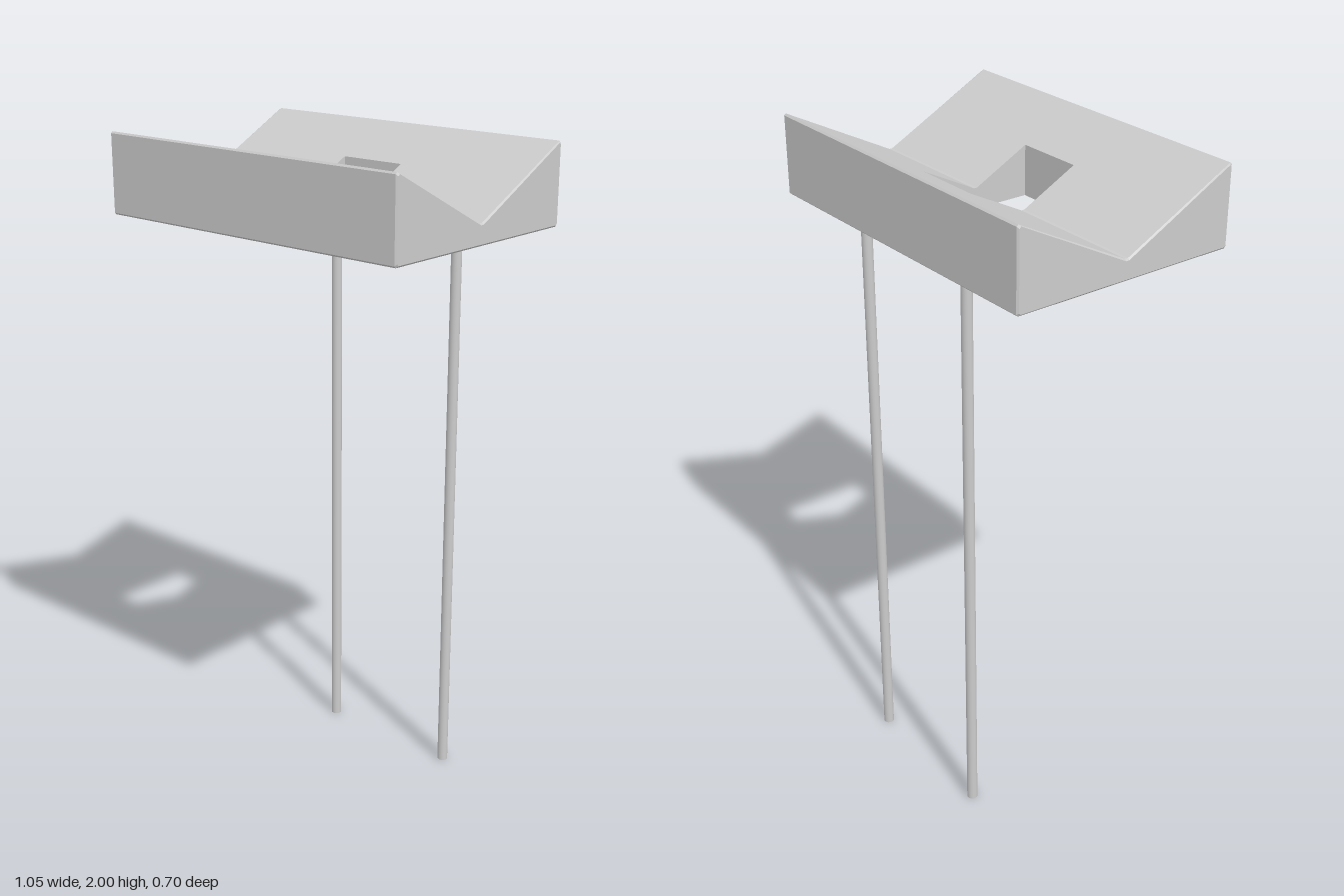
import * as THREE from 'three';

const CHAMFER = 0.005;
const HOLE_X = 0.105, HOLE_Z = 0.175;
const BASE_Y = 1.765, HALF_X = 0.525, HALF_Z = 0.35;

// V-topped profile as [z, y], counter-clockwise seen from +x, shrunk by d
function profile(d) {
  const w = HALF_Z - d, b = BASE_Y + d, t = 2 - d, v = 1.826 - d;
  const c = CHAMFER, h = HOLE_Z, n = 0.005;
  const slopeY = v + (t - v) * (h - n) / (w - c - n);
  return [
    [w - c, b], [h, b], [-h, b], [c - w, b],
    [-w, b + c], [-w, t - c], [c - w, t],
    [-h, slopeY], [-n, v], [n, v], [h, slopeY],
    [w - c, t], [w, t - c], [w, b + c],
  ];
}

function blockGeometry() {
  const pos = [];
  const tri = (...pts) => pts.forEach((p) => pos.push(...p));
  const section = (x, d) => profile(d).map(([z, y]) => [x, y, z]);

  // Skin between two sections along a closed loop of profile indices
  const skin = (a, b, loop) => loop.forEach((i, k) => {
    const j = loop[(k + 1) % loop.length];
    tri(a[i], a[j], b[j]);
    tri(a[i], b[j], b[i]);
  });
  // Flat wall fanned from the middle of the bottom edge
  const wall = (s, loop, facesLeft) => loop.forEach((i, k) => {
    const j = loop[(k + 1) % loop.length];
    if (i === 1 && j === 2) return;
    const centre = [s[0][0], s[0][1], 0];
    if (facesLeft) tri(centre, s[i], s[j]);
    else tri(centre, s[j], s[i]);
  });

  const all = profile(0).map((_, i) => i);
  const hole = [1, 2, 7, 8, 9, 10];
  const s = [
    section(-HALF_X, CHAMFER), section(CHAMFER - HALF_X, 0), section(-HOLE_X, 0),
    section(HOLE_X, 0), section(HALF_X - CHAMFER, 0), section(HALF_X, CHAMFER),
  ];
  for (const i of [0, 1, 3, 4]) skin(s[i], s[i + 1], all);

  // Front and back bars beside the hole, then the hole's end walls
  skin(s[2], s[3], [0, 1, 10, 11, 12, 13]);
  skin(s[2], s[3], [2, 3, 4, 5, 6, 7]);
  wall(s[2], hole, true);
  wall(s[3], hole, false);

  // Outer ends
  wall(s[0], all, false);
  wall(s[5], all, true);

  const geo = new THREE.BufferGeometry();
  geo.setAttribute('position', new THREE.Float32BufferAttribute(pos, 3));
  geo.computeVertexNormals();
  return geo;
}

export function createModel() {
  const model = new THREE.Group();
  const grey = new THREE.MeshStandardMaterial({ color: 0xcccccc });

  const block = new THREE.Mesh(blockGeometry(), grey);
  block.name = 'notchedBlock';
  model.add(block);

  // Two slender posts under the back edge
  const postGeometry = new THREE.CylinderGeometry(0.016, 0.016, BASE_Y, 16);
  for (const side of [1, -1]) {
    const post = new THREE.Mesh(postGeometry, grey);
    post.name = side > 0 ? 'leftPost' : 'rightPost';
    post.position.set(side * 0.23, BASE_Y / 2, -0.282);
    model.add(post);
  }
  return model;
}
